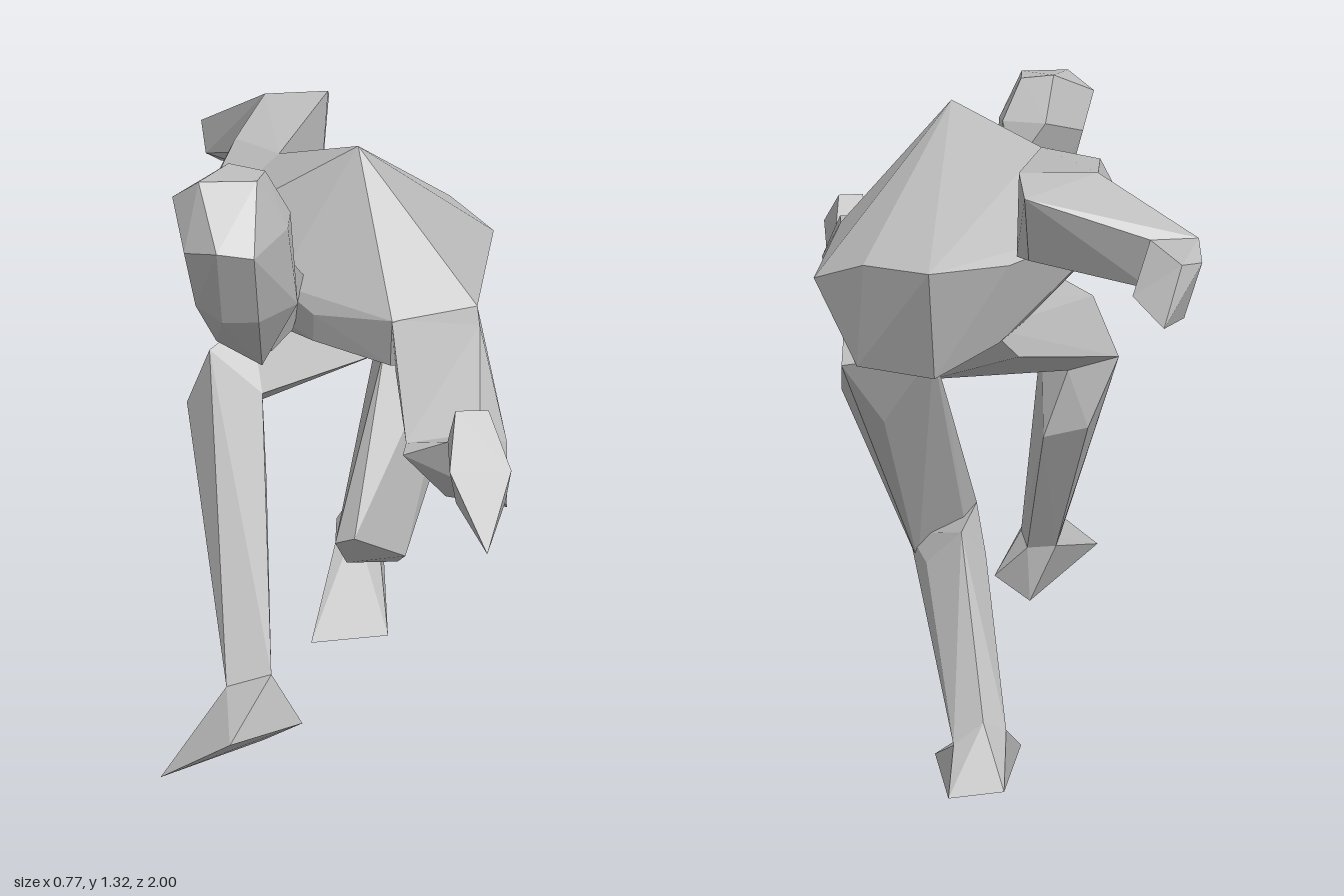
import * as THREE from 'three';
import { ConvexGeometry } from 'three/addons/geometries/ConvexGeometry.js';

export function createModel() {
  const group = new THREE.Group();
  const grey = new THREE.MeshStandardMaterial({ color: 0xbdbdbd });
  grey.name = 'grey';

  // One faceted body part spanning the given rings of corners
  const part = (name, ...rings) => {
    const points = rings.flat().map((p) => new THREE.Vector3(...p));
    const mesh = new THREE.Mesh(new ConvexGeometry(points), grey);
    mesh.name = name;
    group.add(mesh);
  };

  // Torso leaning forward, twisted at the shoulders
  const shoulders = [[0.04, 1.31, 0.15], [0.27, 1.01, 0.31], [0.21, 0.89, 0.34], [0.09, 0.9, 0.35],
    [0.09, 1.0, 0.38], [-0.06, 0.99, 0.28], [-0.06, 0.93, 0.26], [-0.13, 1.04, 0.22],
    [-0.31, 1.1, 0.02], [-0.27, 1.04, 0.06], [-0.19, 0.93, 0.02]];
  const waist = [[-0.11, 1.25, -0.1], [-0.25, 1.13, -0.27], [0.05, 0.82, -0.05], [0.17, 0.82, -0.05],
    [-0.05, 0.92, -0.25]];
  const hips = [[0.385, 1.035, -0.27], [0.3, 1.09, -0.4], [0.19, 1.1, -0.53], [0.02, 1.09, -0.45],
    [0.31, 0.87, -0.35], [0.17, 0.87, -0.46], [0.03, 0.92, -0.4]];
  part('torso', shoulders, waist, hips);

  // Neck and head, with the chin tucked down
  part('neck', [[-0.07, 1.05, 0.22], [-0.15, 1.13, 0.16], [-0.19, 1.0, 0.17], [-0.1, 0.95, 0.24]],
    [[-0.12, 1.13, 0.33], [-0.22, 1.16, 0.32], [-0.25, 1.02, 0.38], [-0.15, 0.94, 0.37]]);
  part('head',
    [[-0.29, 1.31, 0.5], [-0.23, 1.32, 0.37], [-0.16, 1.31, 0.4], [-0.18, 1.31, 0.5], [-0.34, 1.27, 0.44]],
    [[-0.32, 1.18, 0.53], [-0.26, 1.19, 0.59], [-0.19, 1.18, 0.59], [-0.12, 1.21, 0.46],
      [-0.11, 1.22, 0.36], [-0.2, 1.22, 0.31], [-0.3, 1.19, 0.37]],
    [[-0.3, 1.07, 0.5], [-0.25, 1.04, 0.52], [-0.18, 1.04, 0.52], [-0.1, 1.05, 0.42],
      [-0.13, 1.12, 0.32], [-0.26, 0.98, 0.43], [-0.17, 0.92, 0.4]]);

  // Left arm reaching forward
  part('leftArm',
    [[0.09, 1.0, 0.37], [0.27, 1.01, 0.31], [0.26, 1.0, 0.42], [0.27, 0.88, 0.36], [0.1, 0.89, 0.36]],
    [[0.08, 0.87, 0.76], [0.22, 0.88, 0.74], [0.28, 0.84, 0.68], [0.27, 0.74, 0.76], [0.16, 0.75, 0.72]]);
  part('leftWrist',
    [[0.08, 0.87, 0.76], [0.22, 0.88, 0.74], [0.27, 0.74, 0.76], [0.16, 0.75, 0.72]],
    [[0.07, 0.86, 0.8], [0.15, 0.89, 0.82], [0.23, 0.89, 0.82], [0.26, 0.76, 0.78]]);
  part('leftHand',
    [[0.15, 0.89, 0.815], [0.23, 0.89, 0.815], [0.16, 0.955, 0.84], [0.22, 0.955, 0.84]],
    [[0.14, 0.87, 0.93], [0.25, 0.87, 0.93], [0.16, 0.79, 0.87], [0.25, 0.79, 0.87]],
    [[0.2, 0.74, 1.0]]);

  // Right arm swung behind
  const elbow = [[-0.17, 1.21, -0.58], [-0.12, 1.3, -0.6], [0.03, 1.305, -0.6], [0.04, 1.28, -0.71],
    [0.02, 1.15, -0.65], [-0.1, 1.14, -0.55]];
  const rearWrist = [[-0.27, 1.21, -0.77], [-0.18, 1.21, -0.77], [-0.26, 1.13, -0.76], [-0.19, 1.11, -0.74]];
  part('rightUpperArm', [[-0.31, 1.1, 0.02], [-0.11, 1.25, -0.1], [-0.2, 1.255, -0.26],
    [-0.27, 1.12, -0.28], [0, 1.1, -0.42]], elbow);
  part('rightForearm', elbow.filter((p) => p[2] < -0.59), [[-0.1, 1.16, -0.62]], rearWrist);
  part('rightHand', rearWrist,
    [[-0.25, 1.19, -0.87], [-0.2, 1.2, -0.92], [-0.12, 1.14, -0.89], [-0.22, 1.09, -0.87], [-0.15, 1.11, -1.0]]);

  // Left leg: knee forward, foot trailing
  const leftKnee = [[0, 0.41, 0.06], [0.04, 0.43, 0.09], [0.16, 0.36, 0.02], [0.03, 0.34, 0], [0.15, 0.32, -0.05]];
  const leftAnkle = [[0.05, 0.17, -0.6], [0.1, 0.2, -0.62], [0.16, 0.155, -0.62], [0.1, 0.13, -0.58]];
  part('leftThigh', [[0.31, 0.93, -0.14], [0.34, 0.87, -0.34], [0.25, 0.73, -0.29], [0.12, 0.82, -0.08],
    [0.12, 0.78, -0.28], [0.16, 0.9, -0.38], [0.325, 0.77, -0.18]], leftKnee);
  part('leftShin', leftKnee.filter((p) => p[1] < 0.42),
    [[0.08, 0.45, -0.22], [0.15, 0.37, -0.18], [0.02, 0.38, -0.18]], leftAnkle);
  part('leftFoot', leftAnkle, [[-0.03, 0, -0.34], [0.16, 0.005, -0.36], [0.18, 0.07, -0.68], [0.07, 0.08, -0.69]]);

  // Right leg: planted in front with the toes raised
  const rightKnee = [[-0.27, 0.87, 0.1], [-0.18, 0.93, 0.06], [-0.32, 0.74, 0.05], [-0.16, 0.78, 0.13],
    [-0.2, 0.72, 0.03]];
  const rightAnkle = [[-0.25, 0.2, 0.34], [-0.155, 0.225, 0.34], [-0.16, 0.2, 0.285], [-0.23, 0.2, 0.285]];
  part('rightThigh', [[0.02, 0.98, -0.28], [0.1, 0.81, -0.05], [0.15, 0.82, -0.3], [-0.02, 0.87, -0.34],
    [0.05, 0.95, -0.4]], rightKnee);
  part('rightShin', rightKnee.filter((p) => p[1] < 0.9),
    [[-0.15, 0.56, 0.05], [-0.25, 0.58, 0.04]], rightAnkle);
  part('rightFoot', rightAnkle,
    [[-0.09, 0.11, 0.34], [-0.17, 0.055, 0.3], [-0.39, 0.095, 0.54], [-0.25, 0.2, 0.62]]);

  return group;
}
